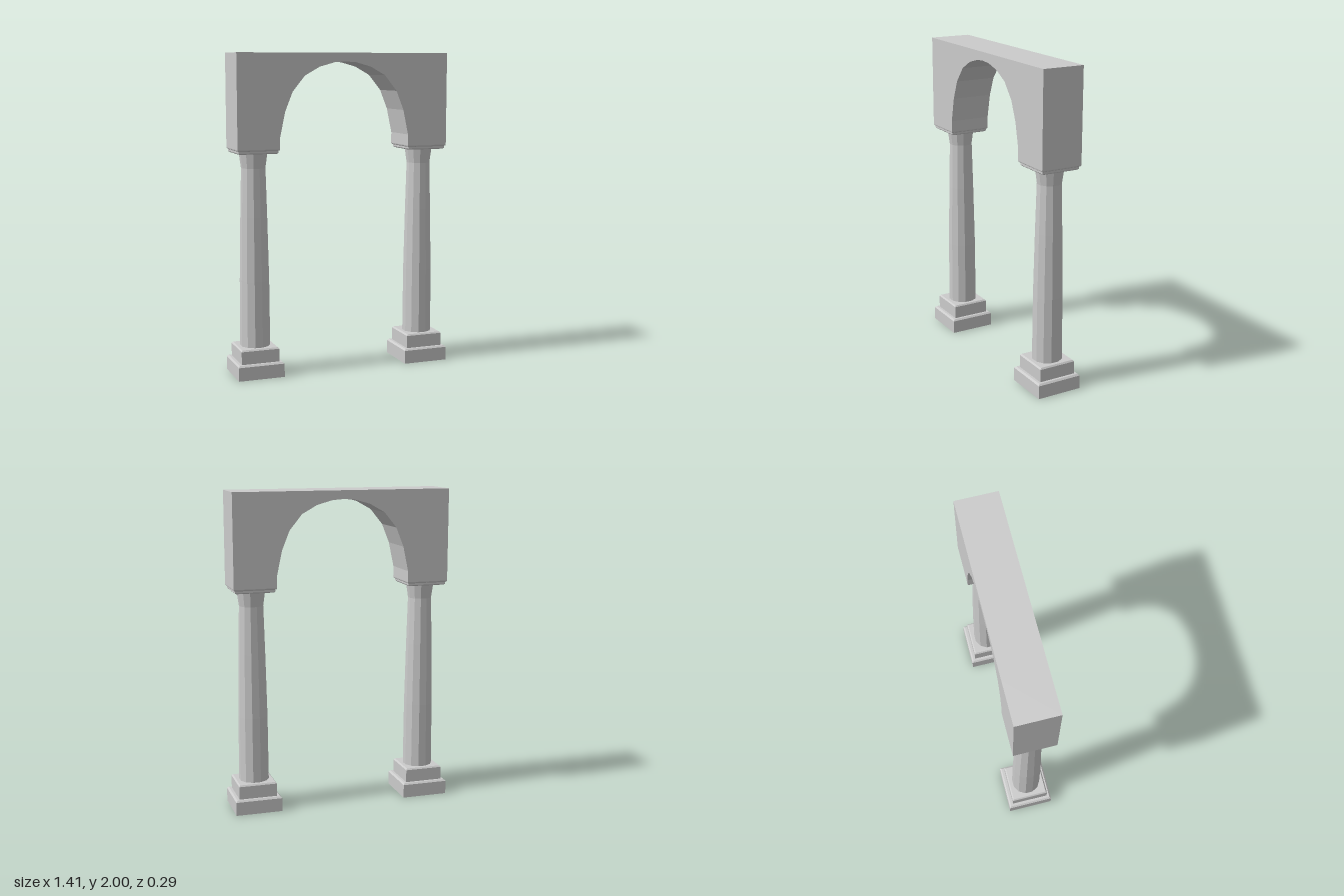
import * as THREE from 'three';

const COLUMN_X = 0.556, HALF = 0.133, TOP = 2, CAPITAL_TOP = 1.42;
const material = new THREE.MeshStandardMaterial({ color: 0xcccccc, flatShading: true });

function part(name, geometry) {
  const mesh = new THREE.Mesh(geometry, material);
  mesh.name = name;
  return mesh;
}

// Revolved profile of [radius, y], closed at both ends, with flats facing the axes
function turned(name, profile, sides, scale = 1) {
  const points = profile.map(([r, y]) => new THREE.Vector2(r * scale, y));
  points.unshift(new THREE.Vector2(0, points[0].y));
  points.push(new THREE.Vector2(0, points[points.length - 1].y));
  return part(name, new THREE.LatheGeometry(points, sides, Math.PI / sides));
}

// Square moulding: the profile gives half widths
const square = (name, profile) => turned(name, profile, 4, Math.SQRT2);

function column(name, x) {
  const group = new THREE.Group();
  group.name = name;
  group.position.x = x;
  group.add(
    square('plinth', [[0.147, 0], [0.147, 0.085], [0.137, 0.095]]),
    square('pedestal', [[0.121, 0.095], [0.121, 0.176], [0.113, 0.185]]),
    turned('shaft', [[0.094, 0.185], [0.0915, 0.6], [0.083, 1.0], [0.075, 1.3], [0.088, 1.392]], 12),
    square('capital', [[0.117, 1.392], [0.124, 1.398], [0.124, 1.41], [0.131, 1.414], [HALF, CAPITAL_TOP]])
  );
  // Block that carries the arch
  const block = part('impostBlock', new THREE.BoxGeometry(2 * HALF, TOP - CAPITAL_TOP, 2 * HALF));
  block.position.y = (TOP + CAPITAL_TOP) / 2;
  group.add(block);
  return group;
}

// Span between the blocks, cut below by a faceted arch
function archSpan() {
  const inner = COLUMN_X - HALF;
  const half = [[inner, 1.49], [0.39, 1.645], [0.342, 1.765], [0.263, 1.862], [0.168, 1.915], [0.07, 1.942]];
  const mirrored = half.map(([x, y]) => [-x, y]).reverse();
  const outline = [[inner, TOP], [-inner, TOP], ...mirrored.reverse(), [0, 1.947], ...half.slice().reverse()];
  const shape = new THREE.Shape(outline.map(([x, y]) => new THREE.Vector2(x, y)));
  const geometry = new THREE.ExtrudeGeometry(shape, { depth: 2 * HALF, bevelEnabled: false });
  geometry.translate(0, 0, -HALF);
  return part('archSpan', geometry);
}

export function createModel() {
  const model = new THREE.Group();
  model.name = 'archway';
  model.add(column('leftColumn', COLUMN_X), column('rightColumn', -COLUMN_X), archSpan());
  return model;
}
